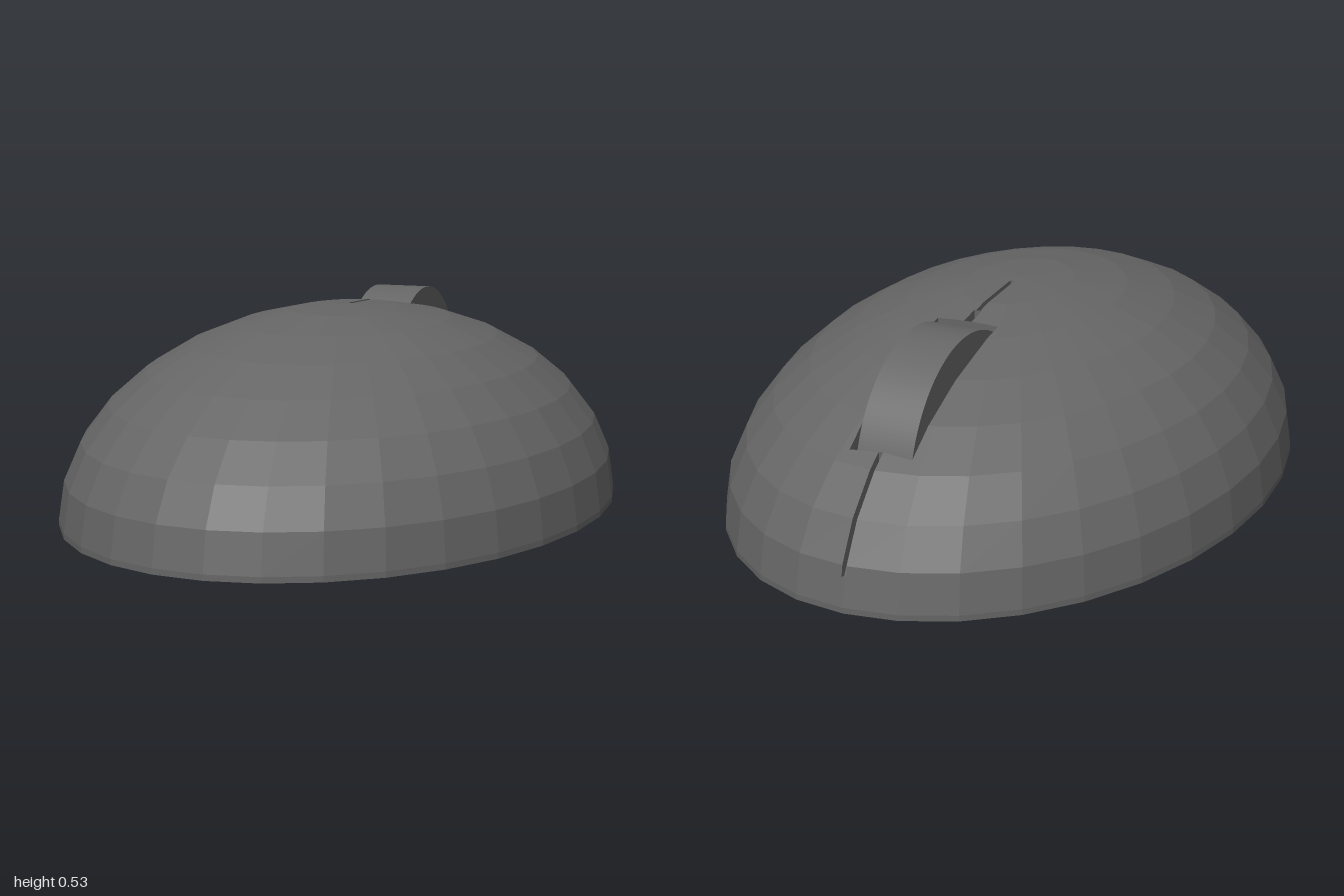
import * as THREE from 'three';

const RX = 0.7, RZ = 1, RY = 0.515, BASE = 0.015;
const SIDES = 32, RINGS = 8;

// Recesses cut into the shell, seen from above
const slot = { x0: -0.08, x1: 0.088, z0: -0.785, z1: -0.3, depth: 0.15 };
const recesses = [
  slot,
  { x0: -0.003, x1: 0.009, z0: -0.985, z1: -0.785, depth: 0.045 },
  { x0: -0.007, x1: 0.014, z0: -0.3, z1: -0.24, depth: 0.045 },
  { x0: -0.003, x1: 0.009, z0: -0.24, z1: -0.03, depth: 0.03 },
];

// Point on the half-ellipsoid: ring 0 is the rim, ring RINGS the crown
function shellPoint(ring, side) {
  const t = (ring / RINGS) * Math.PI / 2, a = (side / SIDES) * Math.PI * 2;
  return new THREE.Vector3(RX * Math.cos(t) * Math.sin(a), BASE + RY * Math.sin(t), RZ * Math.cos(t) * Math.cos(a));
}

// Keep the part of a convex polygon where sign * (p[axis] - limit) >= 0
function clip(poly, axis, limit, sign) {
  const out = [];
  poly.forEach((p, i) => {
    const q = poly[(i + 1) % poly.length];
    const dp = sign * (p[axis] - limit), dq = sign * (q[axis] - limit);
    if (dp >= 0) out.push(p);
    if (dp * dq < 0) out.push(p.clone().lerp(q, dp / (dp - dq)));
  });
  return out.length > 2 ? out : [];
}

function buildShell() {
  const positions = [];
  const emit = (poly) => {
    for (let i = 1; i < poly.length - 1; i++)
      for (const p of [poly[0], poly[i], poly[i + 1]]) positions.push(p.x, p.y, p.z);
  };

  // Dome facets, wall of the rim and flat underside
  let facets = [];
  const floorCentre = new THREE.Vector3();
  for (let s = 0; s < SIDES; s++) {
    for (let r = 0; r < RINGS; r++) {
      const facet = [shellPoint(r, s), shellPoint(r, s + 1), shellPoint(r + 1, s + 1)];
      if (r < RINGS - 1) facet.push(shellPoint(r + 1, s));
      facets.push(facet);
    }
    const a = shellPoint(0, s), b = shellPoint(0, s + 1);
    const a0 = a.clone().setY(0), b0 = b.clone().setY(0);
    emit([a0, b0, b, a]);
    emit([floorCentre, b0, a0]);
  }

  // Split the facets at each recess; sink the inside and wall its edges
  for (const { x0, x1, z0, z1, depth } of recesses) {
    const kept = [];
    const sides = [['x', x0, 1], ['x', x1, -1], ['z', z0, 1], ['z', z1, -1]];
    for (const facet of facets) {
      let inside = facet;
      const outside = [];
      for (const [axis, limit, sign] of sides) {
        const rest = clip(inside, axis, limit, -sign);
        if (rest.length) outside.push(rest);
        inside = clip(inside, axis, limit, sign);
        if (!inside.length) break;
      }
      if (!inside.length) {
        kept.push(facet);
        continue;
      }
      kept.push(...outside);
      const sunk = inside.map((p) => p.clone().setY(p.y - depth));
      emit(sunk);
      inside.forEach((p, i) => {
        const j = (i + 1) % inside.length, q = inside[j];
        const onEdge = sides.some(([axis, limit]) =>
          Math.abs(p[axis] - limit) < 1e-6 && Math.abs(q[axis] - limit) < 1e-6);
        if (onEdge) emit([p, q, sunk[j], sunk[i]]);
      });
    }
    facets = kept;
  }
  facets.forEach(emit);

  const geometry = new THREE.BufferGeometry();
  geometry.setAttribute('position', new THREE.Float32BufferAttribute(positions, 3));
  geometry.computeVertexNormals();
  return geometry;
}

// Visible arc of the scroll wheel, closed off below inside the slot
function buildWheel() {
  const cz = 0.462, cy = 0.208, r = 0.32, back = 0.766, front = 0.303;
  const shape = new THREE.Shape();
  shape.moveTo(front, 0.36);
  shape.lineTo(back, 0.2);
  shape.absarc(cz, cy, r, Math.acos((back - cz) / r), Math.acos((front - cz) / r), false);
  shape.closePath();
  const width = 0.148;
  const geometry = new THREE.ExtrudeGeometry(shape, { depth: width, bevelEnabled: false, curveSegments: 28 });
  geometry.translate(0, 0, -width / 2);
  geometry.rotateY(Math.PI / 2);
  geometry.translate((slot.x0 + slot.x1) / 2, 0, 0);
  return geometry;
}

export function createModel() {
  const group = new THREE.Group();
  group.name = 'computerMouse';
  const material = new THREE.MeshStandardMaterial({ color: 0x666666, flatShading: true });

  const shell = new THREE.Mesh(buildShell(), material);
  shell.name = 'shell';
  const wheel = new THREE.Mesh(buildWheel(), material);
  wheel.name = 'scrollWheel';
  group.add(shell, wheel);
  return group;
}
